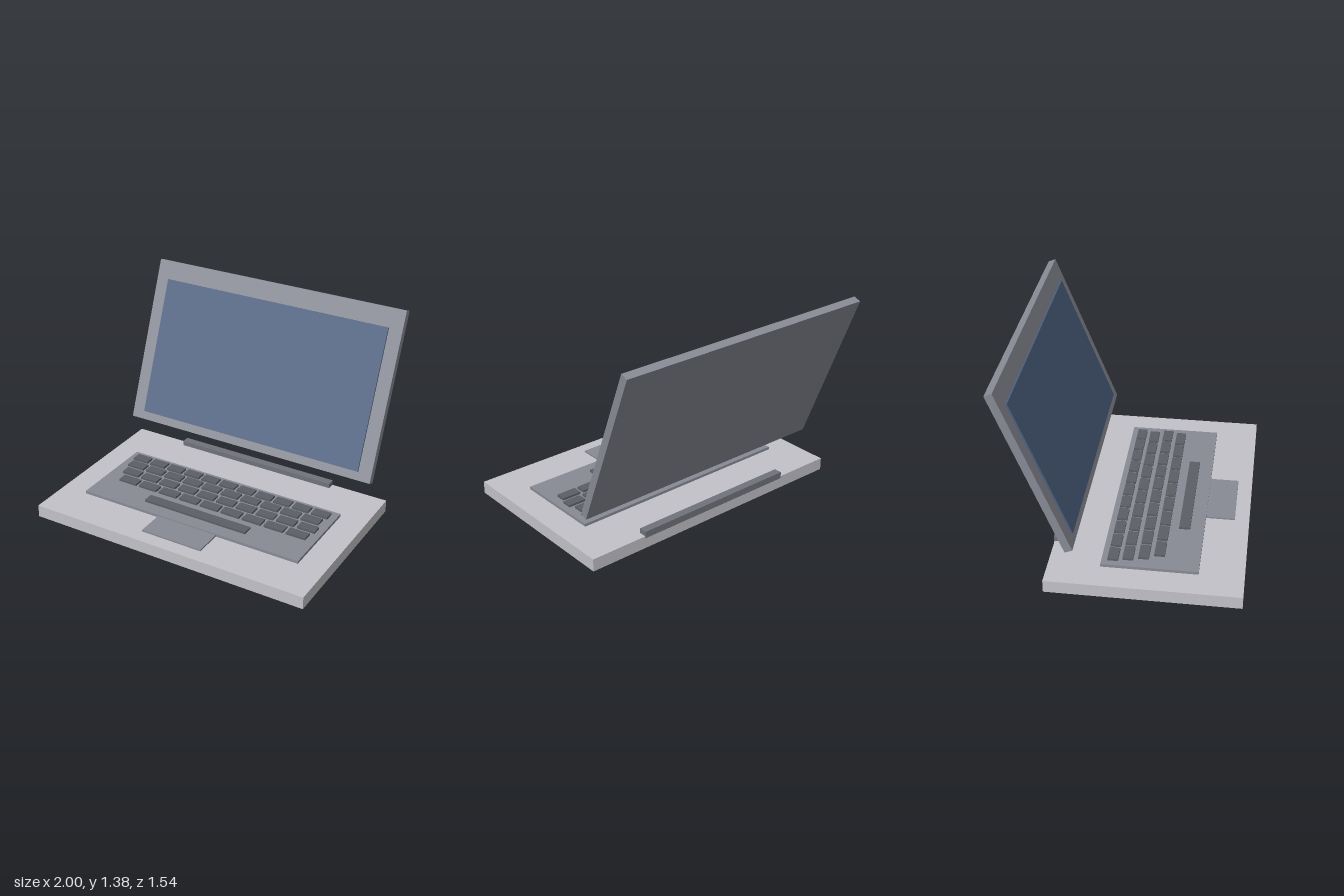
import * as THREE from 'three';

const paint = (color) => new THREE.MeshStandardMaterial({ color });

// Box given by its lower and upper limits on each axis
function slab(name, material, [x0, x1], [y0, y1], [z0, z1]) {
  const mesh = new THREE.Mesh(new THREE.BoxGeometry(x1 - x0, y1 - y0, z1 - z0), material);
  mesh.position.set((x0 + x1) / 2, (y0 + y1) / 2, (z0 + z1) / 2);
  mesh.name = name;
  return mesh;
}

export function createModel() {
  const model = new THREE.Group();
  model.name = 'laptop';

  const shell = paint(0xc2c2c8);
  const trim = paint(0x888b95);
  const keyGrey = paint(0x5c5f66);
  const hingeGrey = paint(0x70737b);
  const glass = paint(0x4d6080);

  // Body, keyboard deck, touchpad and hinge bar
  model.add(
    slab('base', shell, [-1, 1], [0, 0.086], [-0.477, 0.767]),
    slab('keyboardDeck', trim, [-0.815, 0.815], [0.08, 0.105], [-0.143, 0.479]),
    slab('touchpad', trim, [-0.222, 0.222], [0.08, 0.097], [0.4, 0.671]),
    slab('hinge', hingeGrey, [-0.595, 0.595], [0.074, 0.12], [-0.481, -0.425]),
  );

  // Key rows: count, first key centre, spacing, key width, row centre
  const keys = new THREE.Group();
  keys.name = 'keys';
  const rows = [
    [11, -0.712, 0.142, 0.118, -0.07],
    [10, -0.69, 0.1527, 0.129, 0.024],
    [10, -0.668, 0.1527, 0.128, 0.122],
    [9, -0.623, 0.163, 0.139, 0.219],
  ];
  for (const [count, first, pitch, width, z] of rows) {
    for (let i = 0; i < count; i++) {
      const x = first + i * pitch;
      keys.add(slab('key', keyGrey, [x - width / 2, x + width / 2], [0.1, 0.12], [z - 0.034, z + 0.034]));
    }
  }
  keys.add(slab('spaceBar', keyGrey, [-0.389, 0.386], [0.1, 0.12], [0.314, 0.387]));
  model.add(keys);

  // Lid and display, tilted back together
  const lid = new THREE.Group();
  lid.name = 'lid';
  lid.add(
    slab('lidPanel', trim, [-0.945, 0.945], [-0.581, 0.581], [-0.0265, 0.0265]),
    slab('screen', glass, [-0.85, 0.85], [-0.522, 0.45], [0.018, 0.038]),
  );
  lid.position.set(0, 0.83, -0.53);
  lid.rotation.x = THREE.MathUtils.degToRad(-21.7);
  model.add(lid);

  return model;
}
